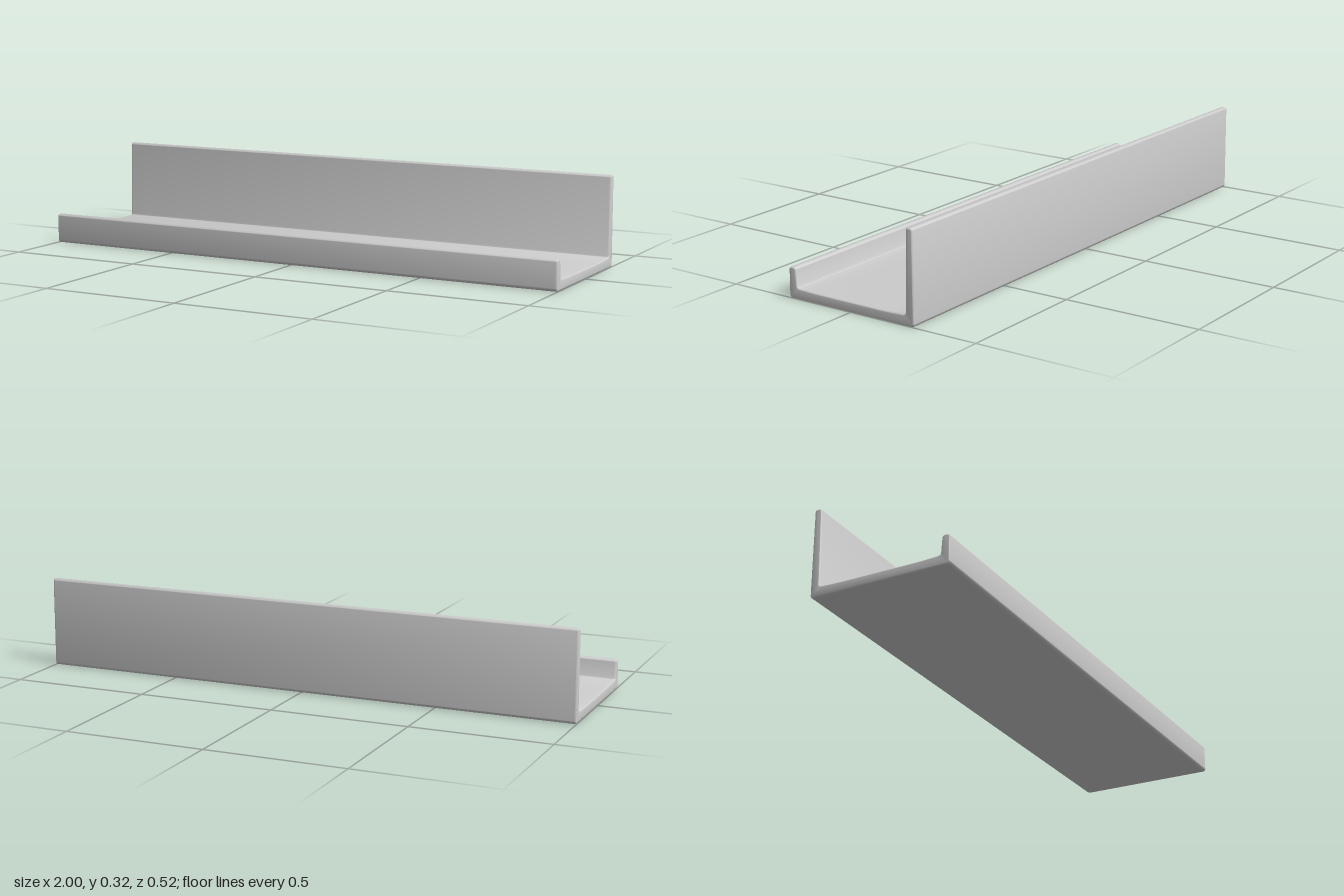
import * as THREE from 'three';
import { toCreasedNormals } from 'three/addons/utils/BufferGeometryUtils.js';

// Closed shape through [x, y, cornerRadius] points with rounded corners
function roundedShape(points) {
  const shape = new THREE.Shape();
  const n = points.length;
  points.forEach(([x, y, r], i) => {
    const corner = new THREE.Vector2(x, y);
    const toward = ([px, py]) =>
      new THREE.Vector2(px, py).sub(corner).setLength(r).add(corner);
    const a = toward(points[(i + n - 1) % n]);
    const b = toward(points[(i + 1) % n]);
    if (i === 0) shape.moveTo(a.x, a.y);
    else shape.lineTo(a.x, a.y);
    shape.quadraticCurveTo(x, y, b.x, b.y);
  });
  shape.closePath();
  return shape;
}

export function createModel() {
  const group = new THREE.Group();
  group.name = 'ledgeShelf';

  // Cross-section: low front lip, slightly dished floor, tall back wall
  const profile = roundedShape([
    [-0.26, 0, 0.012],
    [0.259, 0, 0.012],
    [0.257, 0.325, 0.011],
    [0.231, 0.325, 0.011],
    [0.226, 0.038, 0.009],
    [0.15, 0.035, 0.03],
    [-0.15, 0.035, 0.03],
    [-0.226, 0.038, 0.009],
    [-0.231, 0.107, 0.011],
    [-0.259, 0.107, 0.011],
  ]);

  // Run the section along x, with softened ends
  const bevel = 0.005;
  const geometry = new THREE.ExtrudeGeometry(profile, {
    depth: 2 - 2 * bevel,
    curveSegments: 6,
    bevelEnabled: true,
    bevelThickness: bevel,
    bevelSize: bevel,
    bevelOffset: -bevel,
    bevelSegments: 3,
  });
  geometry.translate(0, 0, -1 + bevel);
  geometry.rotateY(Math.PI / 2);

  const shelf = new THREE.Mesh(
    toCreasedNormals(geometry, 0.7),
    new THREE.MeshStandardMaterial({ color: 0xcccccc })
  );
  shelf.name = 'shelfChannel';
  group.add(shelf);
  return group;
}
